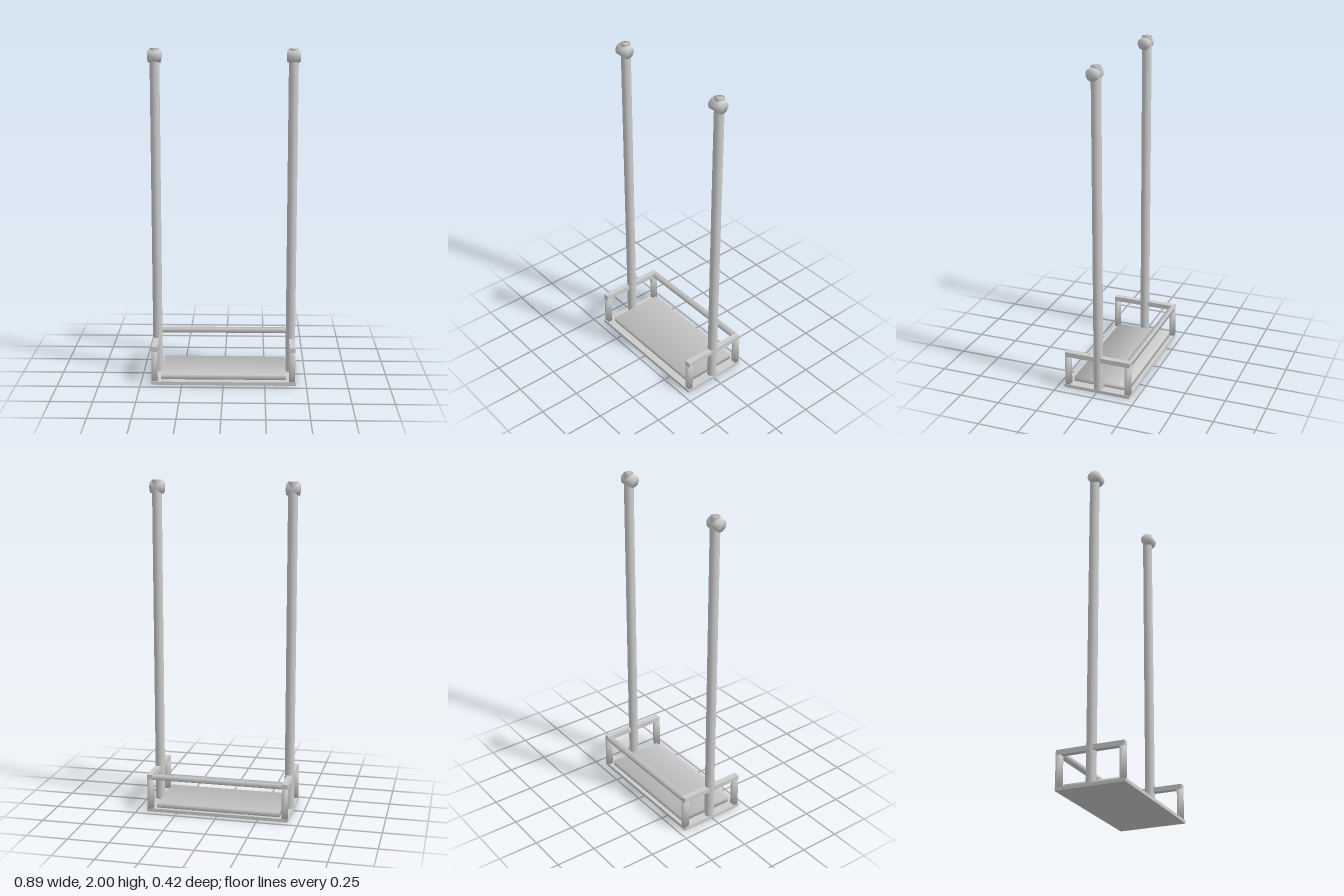
import * as THREE from 'three';

const material = new THREE.MeshStandardMaterial({ color: 0xcccccc });

// Box given by its limits; "soft" weights round the shading over its edges
function box(name, [x0, x1], [y0, y1], [z0, z1], soft) {
  const geo = new THREE.BoxGeometry(x1 - x0, y1 - y0, z1 - z0);
  if (soft) {
    const p = geo.attributes.position, n = geo.attributes.normal;
    for (let i = 0; i < p.count; i++) {
      const v = new THREE.Vector3(Math.sign(p.getX(i)), Math.sign(p.getY(i)), Math.sign(p.getZ(i)));
      v.multiply(new THREE.Vector3(...soft)).normalize();
      n.setXYZ(i, v.x, v.y, v.z);
    }
  }
  const mesh = new THREE.Mesh(geo, material);
  mesh.name = name;
  mesh.position.set((x0 + x1) / 2, (y0 + y1) / 2, (z0 + z1) / 2);
  return mesh;
}

// Closed round bar along y, softly shaded over its rims
function bar(name, radius, length) {
  const h = length / 2;
  const profile = [[0, -h], [radius, -h], [radius, h], [0, h]].map(([x, y]) => new THREE.Vector2(x, y));
  const mesh = new THREE.Mesh(new THREE.LatheGeometry(profile, 32), material);
  mesh.name = name;
  return mesh;
}

export function createModel() {
  const model = new THREE.Group();
  model.name = 'hangingSeat';

  // Seat board, pad and back rail
  model.add(box('seatBoard', [-0.437, 0.437], [0, 0.02], [-0.21, 0.21]));
  model.add(box('seatPad', [-0.38, 0.38], [0.02, 0.05], [-0.185, 0.165], [0, 1, 1]));
  model.add(box('backRail', [-0.4, 0.4], [0.205, 0.235], [-0.212, -0.183], [0, 1, 1]));

  for (const side of [1, -1]) {
    const group = new THREE.Group();
    group.name = side > 0 ? 'leftSide' : 'rightSide';
    const xs = side > 0 ? [0.398, 0.433] : [-0.433, -0.398];

    // Armrest frame
    group.add(box('armRail', xs, [0.205, 0.235], [-0.21, 0.203]));
    group.add(box('frontArmPost', xs, [0.02, 0.205], [0.173, 0.203], [1, 1, 1]));
    group.add(box('backArmPost', xs, [0.02, 0.205], [-0.21, -0.18], [1, 1, 1]));

    // Hanging pole with a cross sleeve near its top
    const pole = bar('pole', 0.029, 1.98);
    pole.position.set(side * 0.409, 1.01, -0.004);
    const sleeve = bar('poleSleeve', 0.038, 0.077);
    sleeve.rotation.z = -Math.PI / 2;
    sleeve.position.set(side * 0.409, 1.957, 0.004);
    group.add(pole, sleeve);
    model.add(group);
  }
  return model;
}
